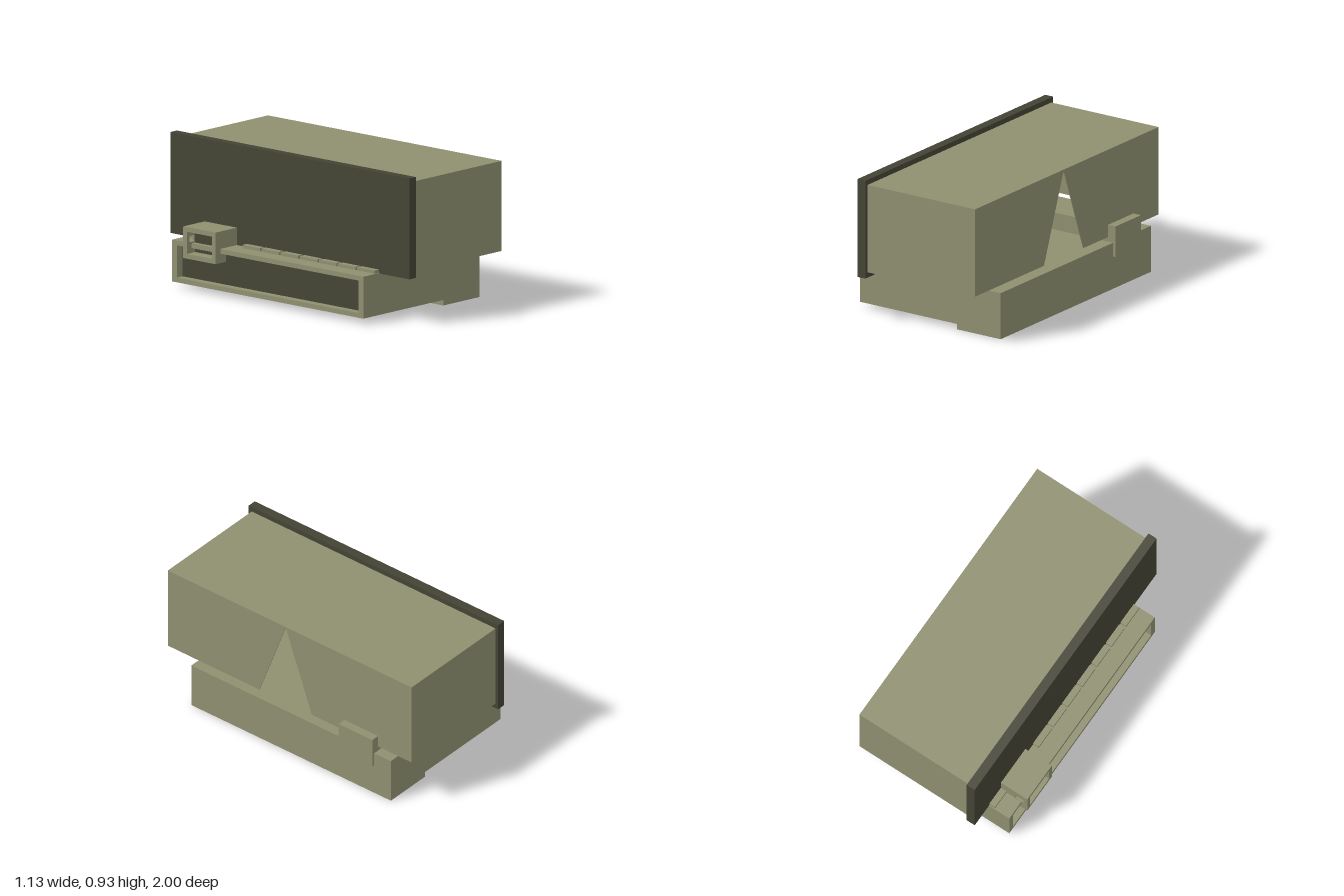
import * as THREE from 'three';

const olive = new THREE.MeshStandardMaterial({ color: 0x8f9070 });
const dark = new THREE.MeshStandardMaterial({ color: 0x444435 });

function add(parent, name, geometry, material = olive) {
  const mesh = new THREE.Mesh(geometry, material);
  mesh.name = name;
  parent.add(mesh);
  return mesh;
}

// Box given by its limits on each axis
function block(parent, name, [x0, x1], [y0, y1], [z0, z1], material) {
  const g = new THREE.BoxGeometry(x1 - x0, y1 - y0, z1 - z0);
  g.translate((x0 + x1) / 2, (y0 + y1) / 2, (z0 + z1) / 2);
  return add(parent, name, g, material);
}

function outline(points, Type = THREE.Shape) {
  return new Type(points.map(([a, b]) => new THREE.Vector2(a, b)));
}

const rect = (a0, a1, b0, b1) => [[a0, b0], [a1, b0], [a1, b1], [a0, b1]];

function plate(points, holes, depth) {
  const shape = outline(points);
  holes.forEach(h => shape.holes.push(outline(h.slice().reverse(), THREE.Path)));
  return new THREE.ExtrudeGeometry(shape, { depth, bevelEnabled: false });
}

// Upright plate across x: points are (-z, y)
function sidePlate(parent, name, points, holes, x, depth) {
  return add(parent, name, plate(points, holes, depth).rotateY(Math.PI / 2).translate(x, 0, 0));
}

// Flat plate: points are (x, -z)
function floorPlate(parent, name, points, holes, y, depth) {
  return add(parent, name, plate(points, holes, depth).rotateX(-Math.PI / 2).translate(0, y, 0));
}

export function createModel() {
  const model = new THREE.Group();
  const t = 0.02;

  // Upper housing, open below, with a tall triangular opening on its left
  const housing = new THREE.Group();
  housing.name = 'upperHousing';
  model.add(housing);
  const X = [-0.31, 0.505], Y = [0.33, 0.9], Z = [-0.98, 0.975];
  block(housing, 'roof', X, [Y[1] - t, Y[1]], Z);
  block(housing, 'frontWall', X, Y, [Z[1] - t, Z[1]]);
  block(housing, 'backWall', X, Y, [Z[0], Z[0] + t]);
  sidePlate(housing, 'notchedWall', [
    [-Z[1], Y[0]], [-0.24, Y[0]], [-0.03, 0.897], [0.18, Y[0]],
    [-Z[0], Y[0]], [-Z[0], Y[1]], [-Z[1], Y[1]],
  ], [], X[1] - 0.005, 0.005);

  // Rows of small blocks under the roof
  for (let i = 0; i < 5; i++) {
    for (let j = 0; j < 10; j++) {
      const x = -0.24 + i * 0.165, z = -0.77 + j * 0.16;
      if (Math.abs(z - 0.03) < 0.05) continue;
      block(housing, 'roofBlock', [x - 0.05, x + 0.05], [0.84, 0.885], [z - 0.04, z + 0.04]);
    }
  }

  // Dark panel closing the right side
  block(model, 'darkPanel', [-0.37, -0.31], [0.295, 0.933], [-1, 1], dark);

  // Hollow base with a stepped, perforated floor
  const base = new THREE.Group();
  base.name = 'base';
  model.add(base);
  const z0 = -0.845, z1 = 0.755;
  block(base, 'baseTop', [-0.523, 0.543], [0.27, 0.3], [z0, z1]);
  block(base, 'baseLeftWall', [0.523, 0.543], [0, 0.3], [z0, z1]);
  const section = [[-0.523, 0.035], [0.21, 0.035], [0.21, 0], [0.543, 0], [0.543, 0.3], [-0.523, 0.3]];
  for (const z of [z0, z1 - t]) {
    add(base, 'baseEndWall', plate(section, [], t).translate(0, 0, z));
  }
  block(base, 'floorStep', [0.21, 0.23], [0, 0.06], [z0, z1]);

  const low = [], high = [];
  for (let j = 0; j < 10; j++) {
    const b = 0.765 - j * 0.16;
    for (let i = 0; i < 5; i++) {
      const a = -0.43 + i * 0.14;
      high.push(rect(a - 0.045, a + 0.045, b - 0.035, b + 0.035));
    }
    // Long slots near the front, short ones elsewhere
    if (j > 6) low.push(rect(0.25, 0.5, b - 0.035, b + 0.035));
    else for (const a of [0.3, 0.44]) low.push(rect(a - 0.045, a + 0.045, b - 0.035, b + 0.035));
  }
  floorPlate(base, 'highFloor', rect(-0.523, 0.21, -z1, -z0), high, 0.035, 0.03);
  floorPlate(base, 'lowFloor', rect(0.21, 0.543, -z1, -z0), low, 0, 0.03);

  // Framed long opening on the base's right side
  sidePlate(base, 'baseFrame', rect(-z1, -z0, 0.035, 0.3),
    [rect(-z1 + 0.04, -z0 - 0.04, 0.065, 0.27)], -0.523, 0.06);
  block(base, 'baseRecess', [-0.47, -0.46], [0.05, 0.28], [z0 + t, z1 - t], dark);

  // Row of low keys running under the dark panel
  for (let j = 0; j < 10; j++) {
    const z = 0.675 - j * 0.16;
    if (z < -0.42 && z > -0.7) continue;
    block(model, 'key', [-0.412, -0.33], [0.29, 0.32], [z - 0.073, Math.min(z + 0.073, z1)]);
  }

  // Square tube crossing the body, open at its right end
  const tube = new THREE.Group();
  tube.name = 'crossTube';
  model.add(tube);
  const ty = [0.21, 0.41], tz = [-0.712, -0.442];
  block(tube, 'tubeBody', [-0.47, 0.562], ty, tz);
  block(tube, 'tubeTop', [-0.567, -0.47], [0.38, 0.41], tz);
  block(tube, 'tubeBottom', [-0.567, -0.47], [0.21, 0.24], tz);
  block(tube, 'tubeFrontSide', [-0.567, -0.47], [0.24, 0.38], [tz[1] - 0.03, tz[1]]);
  add(tube, 'tubeWindowSide', plate(rect(-0.567, -0.47, 0.24, 0.38),
    [rect(-0.54, -0.48, 0.31, 0.35)], 0.03).translate(0, 0, tz[0]));
  block(tube, 'tubeRecess', [-0.49, -0.465], [0.235, 0.385], [tz[0] + 0.025, tz[1] - 0.025], dark);

  return model;
}
